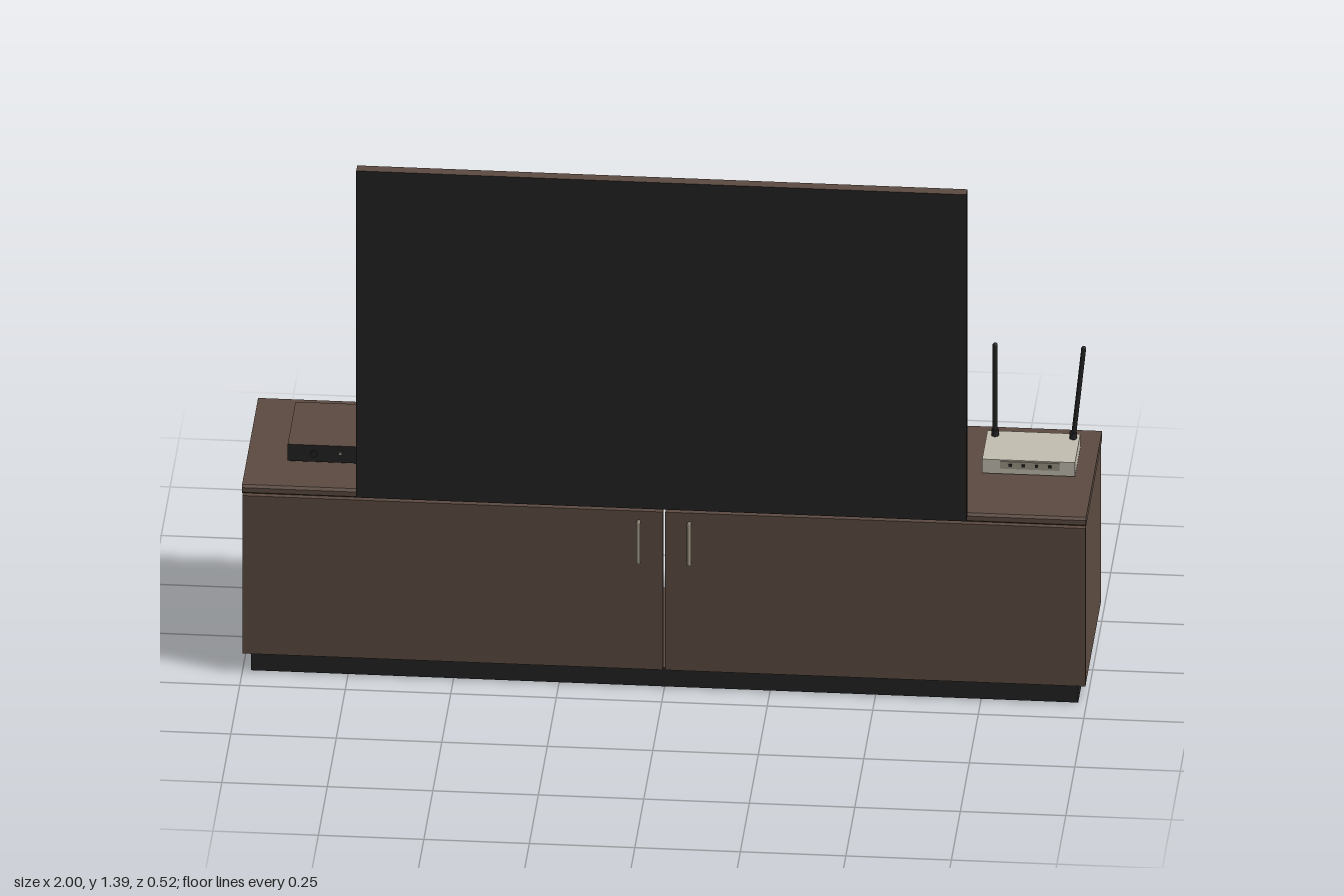
import * as THREE from 'three';

const mat = (name, color) => {
  const m = new THREE.MeshStandardMaterial({ color, side: THREE.DoubleSide });
  m.name = name;
  return m;
};

export function createModel() {
  const root = new THREE.Group();
  root.name = 'mediaCabinet';
  const wood = mat('darkWood', 0x5c4b41);
  const black = mat('blackPlastic', 0x222222);
  const cream = mat('creamPlastic', 0xc2beb0);
  const metal = mat('handleMetal', 0x9c9484);

  // Box between two corners. faces: one material, or six in the order
  // +x -x +y -y +z -z, where null leaves that side open.
  function box(name, [x0, y0, z0], [x1, y1, z1], faces, parent = root) {
    const g = new THREE.BoxGeometry(x1 - x0, y1 - y0, z1 - z0);
    let material = faces;
    if (Array.isArray(faces)) {
      const all = Array.from(g.index.array);
      const index = [];
      material = [];
      g.clearGroups();
      faces.forEach((f, i) => {
        if (!f) return;
        g.addGroup(index.length, 6, material.length);
        index.push(...all.slice(i * 6, i * 6 + 6));
        material.push(f);
      });
      g.setIndex(index);
    }
    const mesh = new THREE.Mesh(g, material);
    mesh.name = name;
    mesh.position.set((x0 + x1) / 2, (y0 + y1) / 2, (z0 + z1) / 2);
    parent.add(mesh);
    return mesh;
  }
  function tube(name, points, radius, material, parent = root) {
    const path = new THREE.CurvePath();
    for (let i = 1; i < points.length; i++) {
      path.add(new THREE.LineCurve3(new THREE.Vector3(...points[i - 1]), new THREE.Vector3(...points[i])));
    }
    const mesh = new THREE.Mesh(new THREE.TubeGeometry(path, 24, radius, 10), material);
    mesh.name = name;
    parent.add(mesh);
    return mesh;
  }
  // Outline in z,y extruded across x
  function profile(name, pts, width, material) {
    const shape = new THREE.Shape(pts.map(([z, y]) => new THREE.Vector2(-z, y)));
    const g = new THREE.ExtrudeGeometry(shape, { depth: width, bevelEnabled: false });
    g.translate(0, 0, -width / 2);
    g.rotateY(Math.PI / 2);
    const mesh = new THREE.Mesh(g, material);
    mesh.name = name;
    root.add(mesh);
  }

  // Cabinet: open back, thin sides, floor resting on a recessed plinth
  box('plinth', [-0.98, 0, -0.24], [0.98, 0.05, 0.17], [black, black, wood, null, black, null]);
  box('sidePanels', [-0.998, 0.05, -0.26], [0.998, 0.48, 0.172], [wood, wood, null, null, null, null]);
  profile('cabinetTop', [[-0.26, 0.478], [0.184, 0.478], [0.19, 0.483], [0.19, 0.495], [0.184, 0.501], [-0.26, 0.501]], 2, wood);

  // Doors and bow handles
  for (const s of [-1, 1]) {
    const a = s * 0.003, b = s * 0.999;
    box('door', [Math.min(a, b), 0.054, 0.171], [Math.max(a, b), 0.474, 0.19], wood);
    const x = s * 0.06;
    tube('doorHandle', [[x, 0.345, 0.188], [x, 0.34, 0.203], [x, 0.45, 0.203], [x, 0.445, 0.188]], 0.005, metal);
  }

  // Television: shallow shells with open backs
  const shell = [black, black, wood, wood, black, null];
  box('screen', [-0.723, 0.518, 0.234], [0.723, 1.387, 0.262], shell);
  box('screenRearHousing', [-0.415, 0.602, 0.203], [0.415, 1.263, 0.2335], shell);
  profile('standNeck', [[0.225, 0.602], [0.2, 0.602], [0.205, 0.625], [0.14, 0.512], [0.168, 0.505], [0.224, 0.605]].filter((_, i) => i !== 1), 0.12, black);
  box('standBase', [-0.21, 0.503, 0], [0.21, 0.513, 0.178], [black, black, wood, wood, black, null]);

  // Set-top box with feet and front lights
  const player = new THREE.Group();
  player.name = 'setTopBox';
  root.add(player);
  box('playerCase', [-0.902, 0.508, -0.15], [-0.603, 0.552, 0.068], shell, player);
  for (const x of [-0.88, -0.64]) {
    for (const z of [-0.13, 0.03]) box('playerFoot', [x, 0.501, z], [x + 0.02, 0.508, z + 0.02], black, player);
  }
  const knob = new THREE.Mesh(new THREE.CylinderGeometry(0.008, 0.008, 0.006, 16), black);
  knob.name = 'playerButton';
  knob.rotation.x = Math.PI / 2;
  knob.position.set(-0.84, 0.53, 0.071);
  player.add(knob);
  for (const x of [-0.78, -0.74, -0.7]) box('playerLight', [x, 0.53, 0.068], [x + 0.006, 0.535, 0.07], metal, player);

  // Router with front panel, lights and two antennas
  const router = new THREE.Group();
  router.name = 'router';
  root.add(router);
  box('routerCase', [0.737, 0.506, -0.16], [0.957, 0.543, -0.012], cream, router);
  box('routerPanel', [0.78, 0.521, -0.012], [0.92, 0.54, -0.009], metal, router);
  for (let i = 0; i < 4; i++) {
    const x = 0.8 + i * 0.031;
    box('routerLight', [x, 0.527, -0.009], [x + 0.008, 0.534, -0.007], black, router);
  }
  for (const [x0, x1] of [[0.757, 0.757], [0.942, 0.967]]) {
    tube('antenna', [[x0, 0.54, -0.137], [x1, 0.783, -0.137]], 0.006, black, router);
    const joint = new THREE.Mesh(new THREE.CylinderGeometry(0.009, 0.009, 0.02, 12), black);
    joint.name = 'antennaJoint';
    joint.position.set(x0, 0.549, -0.137);
    router.add(joint);
    const cap = new THREE.Mesh(new THREE.SphereGeometry(0.006, 10, 6), black);
    cap.name = 'antennaTip';
    cap.position.set(x1, 0.783, -0.137);
    router.add(cap);
  }
  return root;
}
